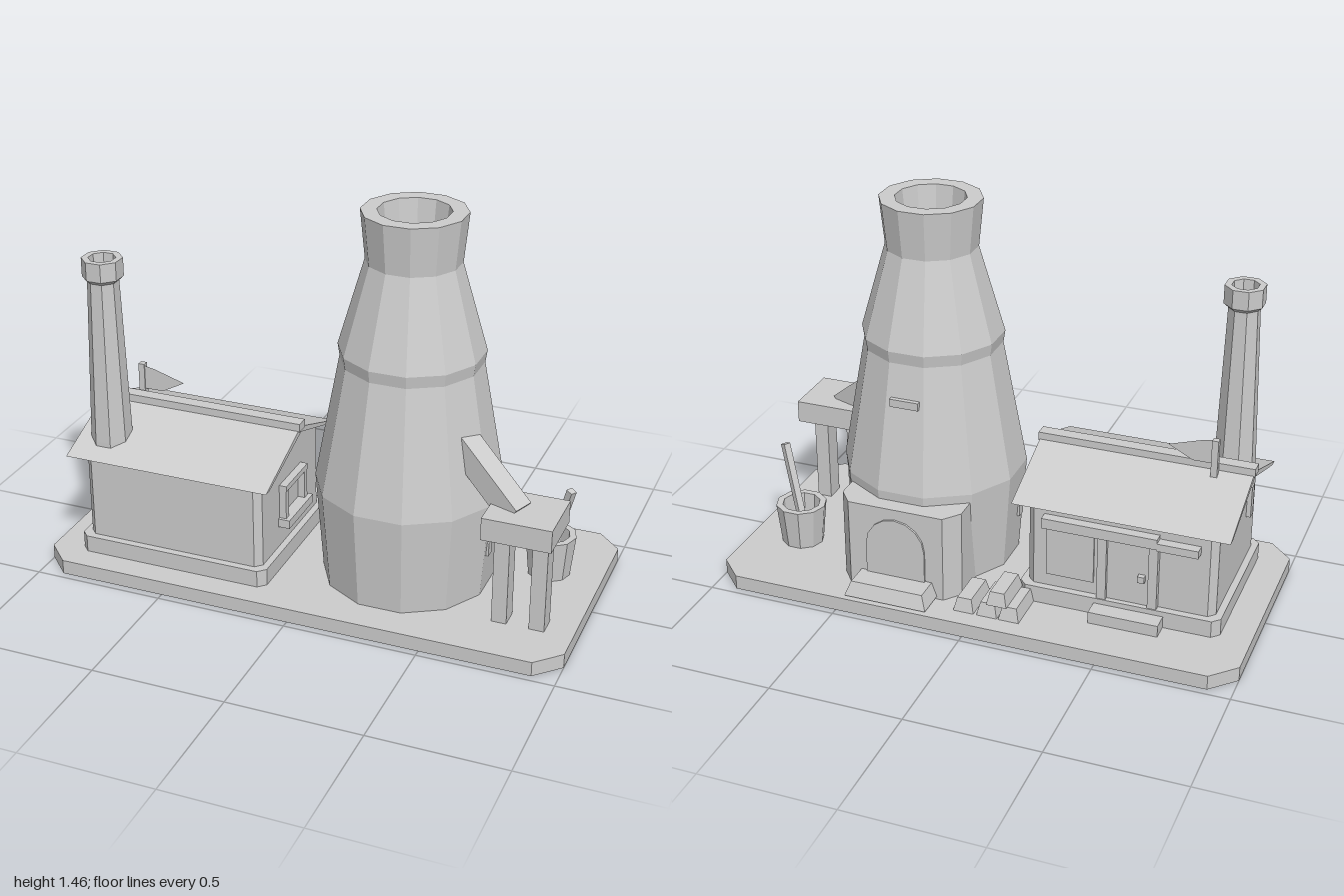
import * as THREE from 'three';

export function createModel() {
  const root = new THREE.Group();
  root.name = 'kilnYard';
  const clay = new THREE.MeshStandardMaterial({ color: 0xcccccc, flatShading: true, side: THREE.DoubleSide });
  clay.name = 'plain grey';

  const add = (name, geo, x = 0, y = 0, z = 0, parent = root) => {
    const m = new THREE.Mesh(geo, clay);
    m.name = name;
    m.position.set(x, y, z);
    parent.add(m);
    return m;
  };
  // Box given by its limits on each axis; inset narrows the top
  const block = (name, x0, x1, y0, y1, z0, z1, parent = root, inset = 0) => {
    const geo = new THREE.BoxGeometry(x1 - x0, y1 - y0, z1 - z0);
    const p = geo.attributes.position;
    for (let i = 0; i < p.count; i++) if (p.getY(i) > 0)
      p.setXYZ(i, p.getX(i) - Math.sign(p.getX(i)) * inset, p.getY(i), p.getZ(i) - Math.sign(p.getZ(i)) * inset);
    return add(name, geo, (x0 + x1) / 2, (y0 + y1) / 2, (z0 + z1) / 2, parent);
  };
  // Faceted turned part with a flat side towards the front
  const turned = (name, pts, sides, x, z) => {
    const geo = new THREE.LatheGeometry(pts.map(p => new THREE.Vector2(p[0], p[1])), sides);
    geo.rotateY(Math.PI / sides);
    return add(name, geo, x, 0, z);
  };
  const outline = pts => new THREE.Shape(pts.map(p => new THREE.Vector2(p[0], p[1])));
  const extrude = (shape, depth) => new THREE.ExtrudeGeometry(shape, { depth, bevelEnabled: false, curveSegments: 4 });
  // Plan drawn in x and -z, raised in y
  const plan = pts => outline(pts.map(p => [p[0], -p[1]]));
  const raised = (name, pts, y0, y1, parent) =>
    add(name, extrude(plan(pts), y1 - y0).rotateX(-Math.PI / 2), 0, y0, 0, parent);
  // Rectangle plan with cut corners
  const cutRect = (x0, x1, z0, z1, c) => [[x0, z0 + c], [x0 + c, z0], [x1 - c, z0], [x1, z0 + c],
    [x1, z1 - c], [x1 - c, z1], [x0 + c, z1], [x0, z1 - c]];
  // Profile drawn in z and y, run along x
  const alongX = (name, pts, x0, x1, parent) =>
    add(name, extrude(outline(pts.map(p => [-p[0], p[1]])), x1 - x0).rotateY(Math.PI / 2), x0, 0, 0, parent);
  // Bar between two points
  const bar = (name, a, b, w, h) => {
    const A = new THREE.Vector3(...a), B = new THREE.Vector3(...b);
    const m = add(name, new THREE.BoxGeometry(w, h, A.distanceTo(B)));
    m.position.copy(A).add(B).multiplyScalar(0.5);
    m.lookAt(B);
    return m;
  };

  // Ground slab with cut corners, hollow and open underneath
  const deck = cutRect(-1, 1, -0.473, 0.473, 0.09);
  add('baseTop', new THREE.ShapeGeometry(plan(deck)).rotateX(-Math.PI / 2), 0, 0.055, 0);
  const rim = [];
  deck.forEach(([ax, az], i) => {
    const [bx, bz] = deck[(i + 1) % deck.length];
    rim.push(ax, 0, az, ax, 0.055, az, bx, 0.055, bz, ax, 0, az, bx, 0.055, bz, bx, 0, bz);
  });
  const rimGeo = new THREE.BufferGeometry();
  rimGeo.setAttribute('position', new THREE.Float32BufferAttribute(rim, 3));
  rimGeo.computeVertexNormals();
  add('baseRim', rimGeo);

  // Bottle kiln
  const kx = 0.307, kz = 0.041;
  turned('kiln', [[0.315, 0.05], [0.345, 0.43], [0.257, 0.91], [0.264, 0.955],
    [0.17, 1.28], [0.188, 1.46], [0.13, 1.46], [0.12, 1.37], [0, 1.37]], 12, kx, kz);
  block('ventBrick', 0.25, 0.36, 0.755, 0.785, -0.247, -0.18);
  for (const s of [-1, 1]) block('spyHole', kx + s * 0.307 - 0.02, kx + s * 0.307 + 0.02, 0.21, 0.262, 0.07, 0.105);

  // Firing porch behind the kiln, with a blocked archway
  raised('porch', [[0.07, 0], [0.07, -0.29], [0.12, -0.352], [0.49, -0.352], [0.54, -0.29], [0.54, 0]], 0.05, 0.395);
  const arch = new THREE.Shape();
  arch.moveTo(0.19, 0.056);
  arch.lineTo(0.19, 0.24);
  arch.absarc(0.305, 0.24, 0.115, Math.PI, 0, true);
  arch.lineTo(0.42, 0.056);
  add('archPanel', extrude(arch, 0.012), 0, 0, -0.36);
  block('porchStep', 0.145, 0.465, 0.066, 0.12, -0.465, -0.33, root, 0.02);

  // Stacked clay ingots
  const ingot = (x, y) => block('ingot', x - 0.039, x + 0.039, y, y + 0.052, -0.4, -0.23, root, 0.012);
  for (const x of [-0.152, -0.068, 0.022]) ingot(x, 0.055);
  ingot(-0.105, 0.107);

  // Workshop
  const house = new THREE.Group();
  house.name = 'workshop';
  root.add(house);
  const rz = 0.067;
  raised('plinth', cutRect(-0.885, -0.13, -0.24, 0.375, 0.028), 0.042, 0.12, house);
  raised('walls', cutRect(-0.86, -0.155, -0.212, 0.347, 0.025), 0.1, 0.462, house);
  alongX('gables', [[-0.212, 0.455], [0.347, 0.455], [rz, 0.557]], -0.86, -0.155, house);
  alongX('roof', [[-0.255, 0.455], [rz, 0.578], [0.392, 0.455], [0.36, 0.455], [rz, 0.555], [-0.225, 0.455]], -0.912, -0.108, house);
  block('ridgeCap', -0.917, -0.103, 0.565, 0.597, 0.044, 0.094, house);
  block('gablePlate', -0.877, -0.85, 0.31, 0.435, 0.2, 0.235, house);

  // Door, step and lintel on the back wall
  block('door', -0.62, -0.46, 0.1, 0.36, -0.22, -0.2, house);
  for (const x of [-0.635, -0.445]) block('doorPost', x - 0.017, x + 0.017, 0.1, 0.39, -0.236, -0.2, house);
  block('doorKnob', -0.605, -0.58, 0.22, 0.245, -0.24, -0.21, house);
  block('doorStep', -0.68, -0.42, 0.03, 0.1, -0.306, -0.23, house);
  block('lintel', -0.65, -0.22, 0.375, 0.415, -0.25, -0.2, house);
  block('lintelEnd', -0.8, -0.65, 0.37, 0.4, -0.25, -0.2, house);

  // Back window panel, and gable window with a frame and sill
  block('backWindow', -0.41, -0.23, 0.17, 0.37, -0.219, -0.211, house);
  for (const z of [-0.02, 0.155]) block('gableWindowSide', -0.165, -0.128, 0.23, 0.37, z - 0.013, z + 0.013, house);
  block('gableWindowTop', -0.165, -0.126, 0.35, 0.372, -0.033, 0.168, house);
  block('gableWindowSill', -0.165, -0.11, 0.205, 0.238, -0.045, 0.18, house);

  // Workshop chimney
  turned('chimney', [[0.077, 0.45], [0.077, 0.5], [0.058, 1.11], [0.058, 1.12], [0.075, 1.135], [0.075, 1.205],
    [0.05, 1.205], [0.047, 1.13], [0, 1.13]], 8, -0.794, 0.25);

  // Roof pennant
  block('flagPole', -0.787, -0.763, 0.52, 0.7, 0.01, 0.034);
  add('pennant', new THREE.ShapeGeometry(outline([[-0.77, 0.695], [-0.72, 0.685], [-0.6, 0.648], [-0.69, 0.6], [-0.77, 0.6]])), 0, 0, 0.03);

  // Chute and bench
  bar('chute', [0.52, 0.69, 0.14], [0.765, 0.48, 0.23], 0.085, 0.09);
  block('benchTop', 0.674, 0.925, 0.42, 0.505, 0.12, 0.352);
  for (const x of [0.73, 0.868]) block('benchLeg', x - 0.028, x + 0.028, 0.05, 0.43, 0.2, 0.275);

  // Bucket with a stirring stick
  turned('bucket', [[0, 0.055], [0.08, 0.055], [0.097, 0.215], [0.072, 0.215], [0.066, 0.13], [0, 0.13]], 10, 0.798, -0.133);
  bar('stick', [0.79, 0.11, -0.138], [0.878, 0.43, -0.085], 0.026, 0.026);

  return root;
}
